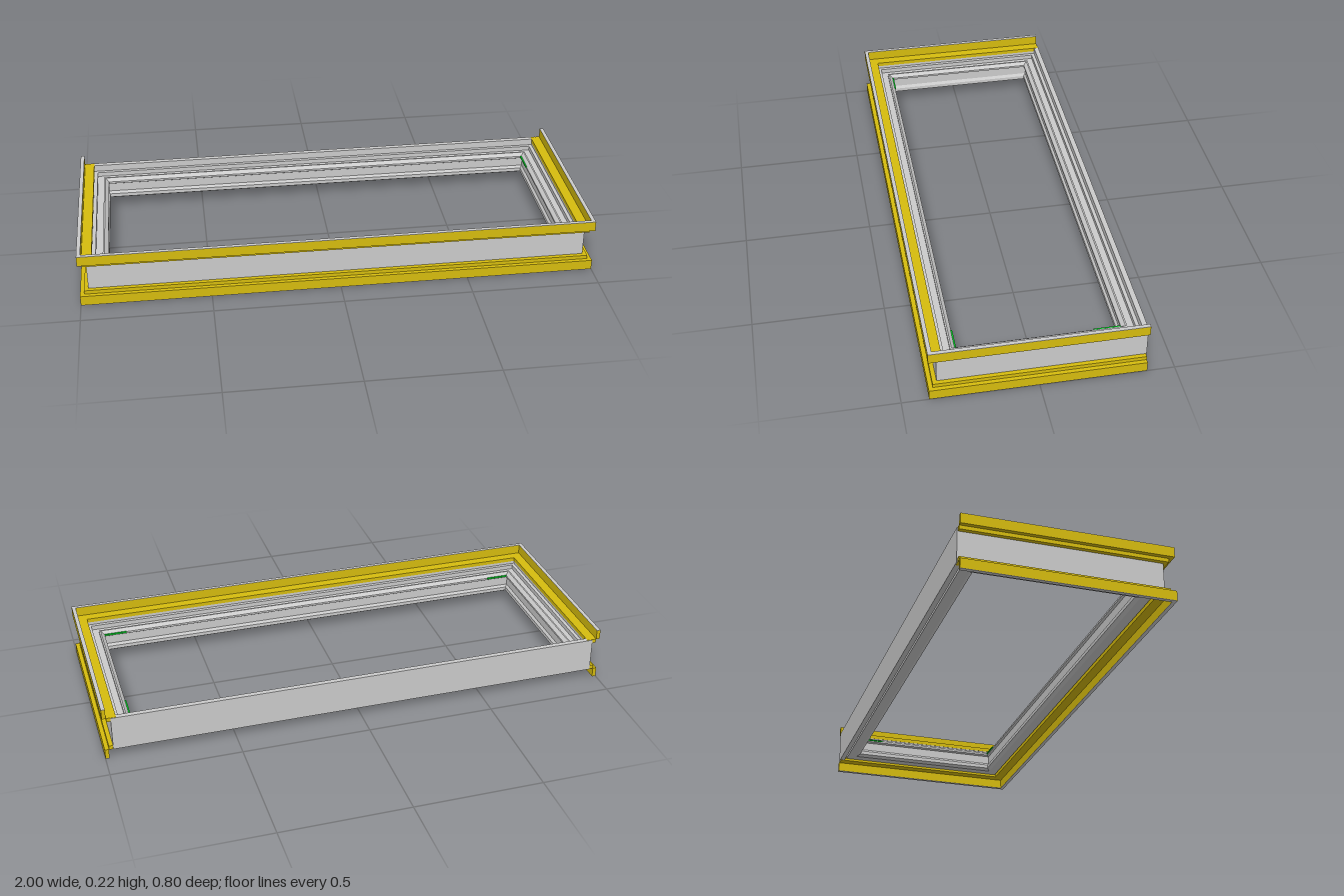
import * as THREE from 'three';

const HALF_X = 0.968, FRONT = 0.368, BACK = -0.4, HEIGHT = 0.217;
const grey = new THREE.MeshStandardMaterial({ color: 0xcccccc, flatShading: true });
const yellow = new THREE.MeshStandardMaterial({ color: 0xd6bc0e, flatShading: true });
const green = new THREE.MeshStandardMaterial({ color: 0x00cc22, flatShading: true });

// Sweeps a counter-clockwise [inset, y] profile around the rectangle with mitred corners.
// A closed sweep makes four sides; an open one leaves out the back and caps both ends.
function sweep(profile, closed) {
  const end = (u) => (closed ? BACK + u : -0.397);
  const corners = [
    (u) => [-HALF_X + u, end(u)],
    (u) => [-HALF_X + u, FRONT - u],
    (u) => [HALF_X - u, FRONT - u],
    (u) => [HALF_X - u, end(u)],
  ];
  const n = profile.length;
  const pos = [], index = [];
  for (const corner of corners) {
    for (const [u, y] of profile) {
      const [x, z] = corner(u);
      pos.push(x, y, z);
    }
  }
  const spans = closed ? 4 : 3;
  for (let k = 0; k < spans; k++) {
    const k2 = (k + 1) % 4;
    for (let j = 0; j < n; j++) {
      const j2 = (j + 1) % n;
      const a = k * n + j, b = k * n + j2, c = k2 * n + j2, d = k2 * n + j;
      index.push(a, b, d, b, c, d);
    }
  }
  if (!closed) {
    const points = profile.map(([u, y]) => new THREE.Vector2(u, y));
    for (const [a, b, c] of THREE.ShapeUtils.triangulateShape(points, [])) {
      index.push(a, c, b, 3 * n + a, 3 * n + b, 3 * n + c);
    }
  }
  const indexed = new THREE.BufferGeometry();
  indexed.setAttribute('position', new THREE.Float32BufferAttribute(pos, 3));
  indexed.setIndex(index);
  const geometry = indexed.toNonIndexed();
  geometry.computeVertexNormals();
  return geometry;
}

const flip = (profile) => profile.map(([u, y]) => [u, HEIGHT - y]).reverse();
const rect = (u0, u1, y0, y1) => [[u0, y0], [u1, y0], [u1, y1], [u0, y1]];

export function createModel() {
  const model = new THREE.Group();
  const add = (name, geometry, material, parent = model) => {
    const mesh = new THREE.Mesh(geometry, material);
    mesh.name = name;
    parent.add(mesh);
    return mesh;
  };

  // Main frame: outer wall, top and bottom grooves, stepped inner face
  add('frame', sweep([
    [0, 0.04], [0.02, 0.04], [0.02, 0.058], [0.028, 0.058], [0.028, 0.046], [0.066, 0.046],
    [0.08, 0.055], [0.08, 0.07], [0.072, 0.08], [0.072, 0.115],
    [0.08, 0.12], [0.08, 0.128], [0.066, 0.14], [0.06, 0.14], [0.06, 0.132],
    [0.034, 0.132], [0.034, 0.15], [0.02, 0.15], [0.02, 0.177], [0, 0.177],
  ], true), grey);

  // Angle trims around the front and both sides, above and below
  const leg = [
    [-0.016, 0.162], [0.021, 0.162], [0.021, 0.178], [-0.017, 0.178],
    [-0.017, 0.2155], [-0.032, 0.2155], [-0.032, 0.177], [-0.016, 0.177],
  ];
  const rim = rect(-0.032, -0.017, 0.2155, HEIGHT);
  for (const [name, shape] of [['topTrim', (p) => p], ['bottomTrim', flip]]) {
    const trim = new THREE.Group();
    trim.name = name;
    add(name + 'Angle', sweep(shape(leg), false), yellow, trim);
    add(name + 'Rim', sweep(shape(rim), false), grey, trim);
    model.add(trim);
  }

  // Thin corner keys on the inner ledge
  for (const side of [-1, 1]) {
    const key = add('frontCornerKey', new THREE.BoxGeometry(0.09, 0.005, 0.008), green);
    key.position.set(side * 0.843, 0.127, FRONT - 0.08);
  }
  const sideKey = add('sideCornerKey', new THREE.BoxGeometry(0.008, 0.005, 0.1), green);
  sideKey.position.set(HALF_X - 0.08, 0.127, BACK + 0.13);

  return model;
}
